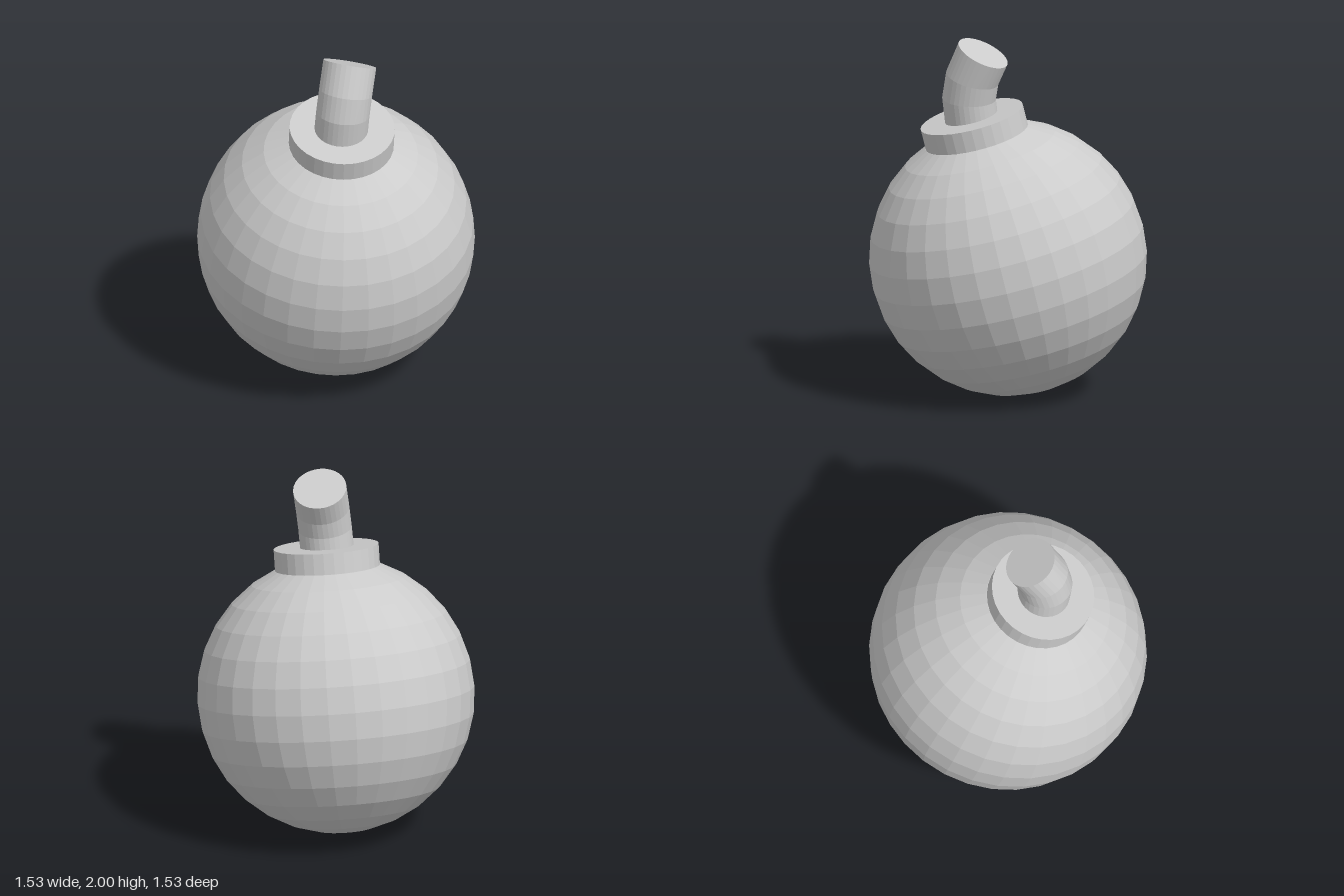
import * as THREE from 'three';

const UP = new THREE.Vector3(0, 1, 0);
const tilt = (x, y, z) =>
  new THREE.Quaternion().setFromUnitVectors(UP, new THREE.Vector3(x, y, z).normalize());

export function createModel() {
  const model = new THREE.Group();
  const material = new THREE.MeshStandardMaterial({ color: 0xcccccc, flatShading: true });
  const add = (name, geometry, parent) => {
    const mesh = new THREE.Mesh(geometry, material);
    mesh.name = name;
    parent.add(mesh);
    return mesh;
  };

  // Round body and neck share one axis leaning to the front left
  const bomb = new THREE.Group();
  bomb.name = 'tiltedBody';
  bomb.position.y = 0.765;
  bomb.quaternion.copy(tilt(0.165, 1, 0.19));
  model.add(bomb);
  add('body', new THREE.SphereGeometry(0.765, 32, 16), bomb);
  add('neck', new THREE.CylinderGeometry(0.29, 0.29, 0.16, 32), bomb).position.y = 0.745;

  // Bent fuse: each ring of a straight cylinder moves to its own centre and tilt
  const rings = [
    { centre: [0.125, 1.53, 0.155], axis: [0.165, 1, 0.19] },
    { centre: [0.143, 1.67, 0.162], axis: [0.06, 1, -0.08] },
    { centre: [0.146, 1.79, 0.138], axis: [0, 1, -0.29] },
    { centre: [0.134, 1.935, 0.074], axis: [-0.08, 1, -0.49] },
  ].map(({ centre, axis }) => ({ centre: new THREE.Vector3(...centre), turn: tilt(...axis) }));

  const fuse = new THREE.CylinderGeometry(0.148, 0.148, 3, 32, 3);
  const pos = fuse.attributes.position;
  const p = new THREE.Vector3();
  for (let i = 0; i < pos.count; i++) {
    p.fromBufferAttribute(pos, i);
    const ring = rings[Math.round(p.y + 1.5)];
    p.setY(0).applyQuaternion(ring.turn).add(ring.centre);
    pos.setXYZ(i, p.x, p.y, p.z);
  }
  fuse.computeVertexNormals();
  add('fuse', fuse, model);

  return model;
}
